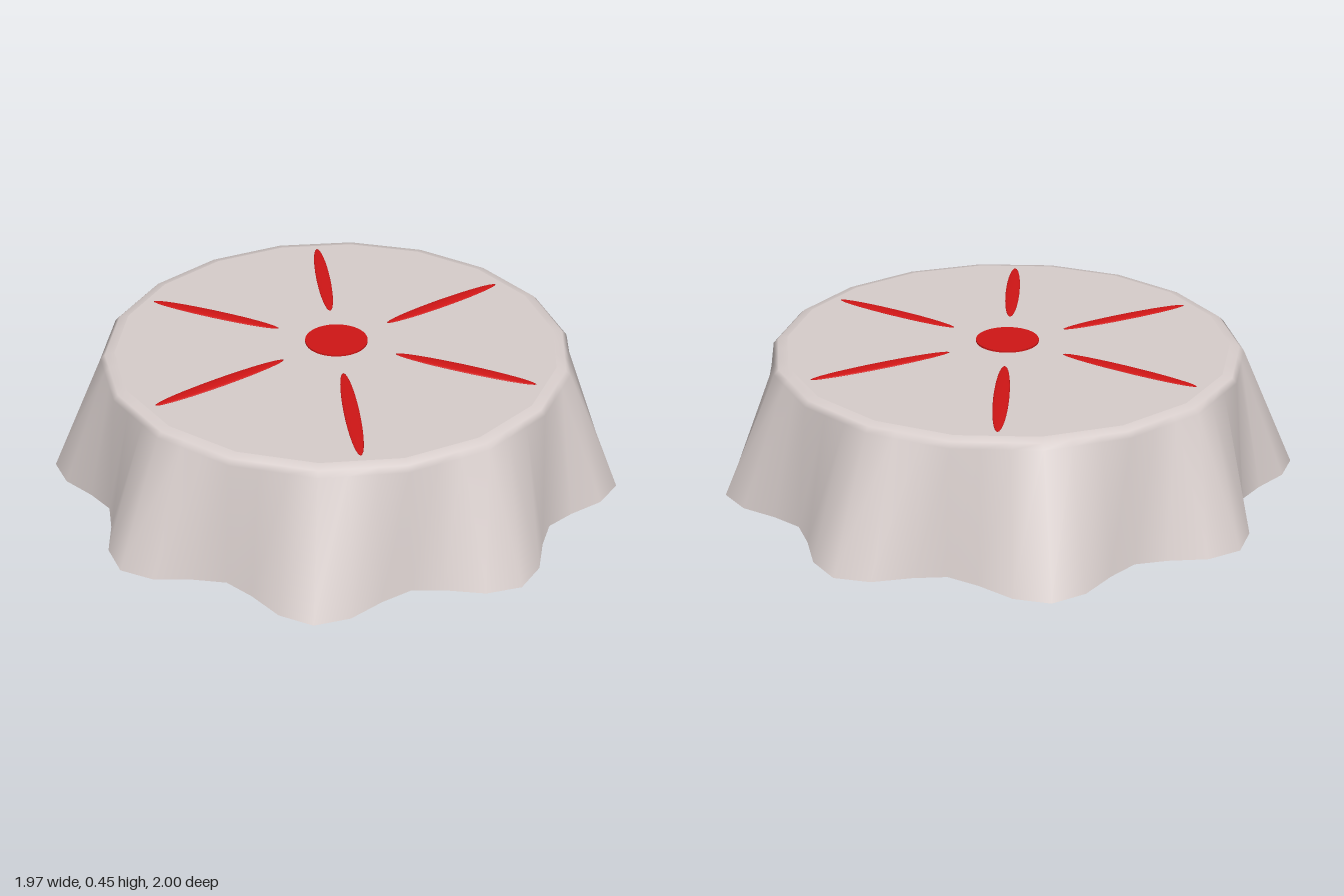
import * as THREE from 'three';

const FLUTES = 9, FACETS = 18, COLUMNS = 54;

// Radius of a regular polygon with the given corner radius
function polygonRadius(corner, angle) {
  const step = (Math.PI * 2) / FACETS;
  const local = angle - Math.floor(angle / step + 1e-6) * step - step / 2;
  return (corner * Math.cos(step / 2)) / Math.cos(local);
}

// Open skirt: wavy hem at the bottom, faceted rounded shoulder at the top
function skirtGeometry() {
  const rings = [
    { y: 0, radius: (a) => 0.945 + 0.072 * Math.cos(FLUTES * a) },
    { y: 0.425, radius: (a) => polygonRadius(0.825, a) },
    { y: 0.441, radius: (a) => polygonRadius(0.808, a) },
    { y: 0.448, radius: (a) => polygonRadius(0.775, a) },
  ];
  const positions = [], index = [];
  rings.forEach(({ y, radius }, j) => {
    for (let i = 0; i < COLUMNS; i++) {
      const a = (i / COLUMNS) * Math.PI * 2, r = radius(a);
      positions.push(r * Math.cos(a), y, r * Math.sin(a));
      if (j === rings.length - 1) continue;
      const next = (i + 1) % COLUMNS;
      const p = j * COLUMNS + i, q = j * COLUMNS + next;
      index.push(p, p + COLUMNS, q, p + COLUMNS, q + COLUMNS, q);
    }
  });
  const geometry = new THREE.BufferGeometry();
  geometry.setAttribute('position', new THREE.Float32BufferAttribute(positions, 3));
  geometry.setIndex(index);
  geometry.computeVertexNormals();
  return geometry;
}

export function createModel() {
  const model = new THREE.Group();
  model.name = 'flutedCap';
  const body = new THREE.MeshStandardMaterial({ color: 0xd8cecc, side: THREE.DoubleSide });
  const red = new THREE.MeshStandardMaterial({ color: 0xd01616 });

  const add = (name, geometry, material) => {
    const mesh = new THREE.Mesh(geometry, material);
    mesh.name = name;
    model.add(mesh);
    return mesh;
  };

  add('skirt', skirtGeometry(), body);

  // Flat top panel
  const top = add('topPanel', new THREE.CircleGeometry(0.775, FACETS), body);
  top.rotation.x = -Math.PI / 2;
  top.position.y = 0.448;

  // Central dot, showing on both sides of the panel
  const dot = add('centreDot', new THREE.CylinderGeometry(0.11, 0.11, 0.012, 48), red);
  dot.position.y = 0.448;

  // Six slender radial markings
  const sliver = new THREE.SphereGeometry(1, 32, 16).scale(0.255, 0.006, 0.026);
  for (let i = 0; i < 6; i++) {
    const angle = Math.PI / 6 + (i * Math.PI) / 3;
    const mark = add('radialMark', sliver, red);
    mark.position.set(0.48 * Math.cos(angle), 0.448, 0.48 * Math.sin(angle));
    mark.rotation.y = -angle;
  }

  // The nine flutes put the axis slightly off the middle of the outline
  model.children.forEach((part) => { part.position.x -= 0.03; });
  return model;
}
